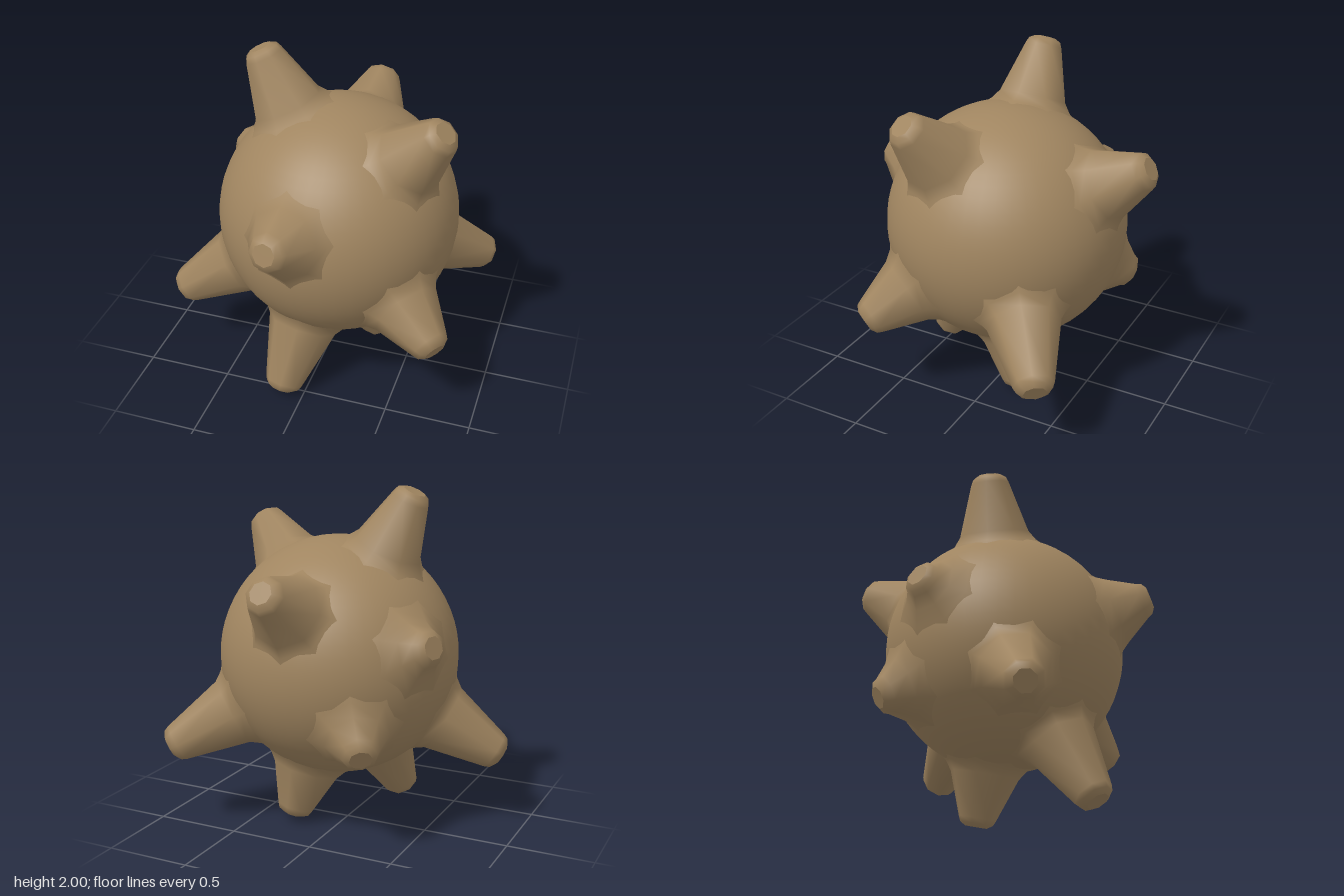
import * as THREE from 'three';

const CENTER = new THREE.Vector3(0.06, 1.02, 0.015);
const RADIUS = 0.695;
const SIDES = 8;

// name and centre of each blunt spike end
const SPIKES = [
  ['topSpike', -0.40, 1.98, 0.01],
  ['upperLeftSpike', 0.71, 1.77, 0.28],
  ['frontSpike', -0.07, 1.25, 0.89],
  ['backSpike', 0.08, 1.52, -0.85],
  ['rightStubSpike', -0.66, 1.20, -0.33],
  ['backStubSpike', -0.37, 0.62, -0.61],
  ['lowerRightSpike', -0.86, 0.44, 0.29],
  ['frontBottomSpike', -0.13, 0.04, 0.55],
  ['backBottomSpike', 0.27, 0.05, -0.19],
  ['lowerLeftFrontSpike', 0.78, 0.56, 0.55],
  ['lowerLeftBackSpike', 0.87, 0.50, -0.58],
];

// tapered spike along +y, flared into the body and rounded off to a small flat end
function makeSpike(length, material) {
  const spike = new THREE.Group();
  const profile = [
    [0.30, 0.615],
    [0.245, 0.66],
    [Math.min(0.205, 0.125 + (length - 0.73) * 0.45), 0.715],
    [0.112, length - 0.05],
    [0.098, length - 0.02],
    [0.065, length],
  ].map(([r, h]) => new THREE.Vector2(r, h));
  const shaft = new THREE.Mesh(new THREE.LatheGeometry(profile, SIDES), material);
  shaft.name = 'spikeShaft';
  const end = new THREE.Mesh(new THREE.CircleGeometry(0.065, SIDES), material);
  end.name = 'spikeEnd';
  end.rotation.x = -Math.PI / 2;
  end.position.y = length;
  spike.add(shaft, end);
  return spike;
}

export function createModel() {
  const model = new THREE.Group();
  model.name = 'spikedBall';
  const brown = new THREE.MeshStandardMaterial({ color: 0xa08560 });
  brown.name = 'earthy brown';

  // round body
  const body = new THREE.Mesh(new THREE.SphereGeometry(RADIUS, 48, 32), brown);
  body.name = 'body';
  body.position.copy(CENTER);
  model.add(body);

  // spikes pointing out from the body's centre
  const up = new THREE.Vector3(0, 1, 0);
  for (const [name, x, y, z] of SPIKES) {
    const direction = new THREE.Vector3(x, y, z).sub(CENTER);
    const spike = makeSpike(direction.length(), brown);
    spike.name = name;
    spike.position.copy(CENTER);
    spike.quaternion.setFromUnitVectors(up, direction.normalize());
    model.add(spike);
  }
  return model;
}
